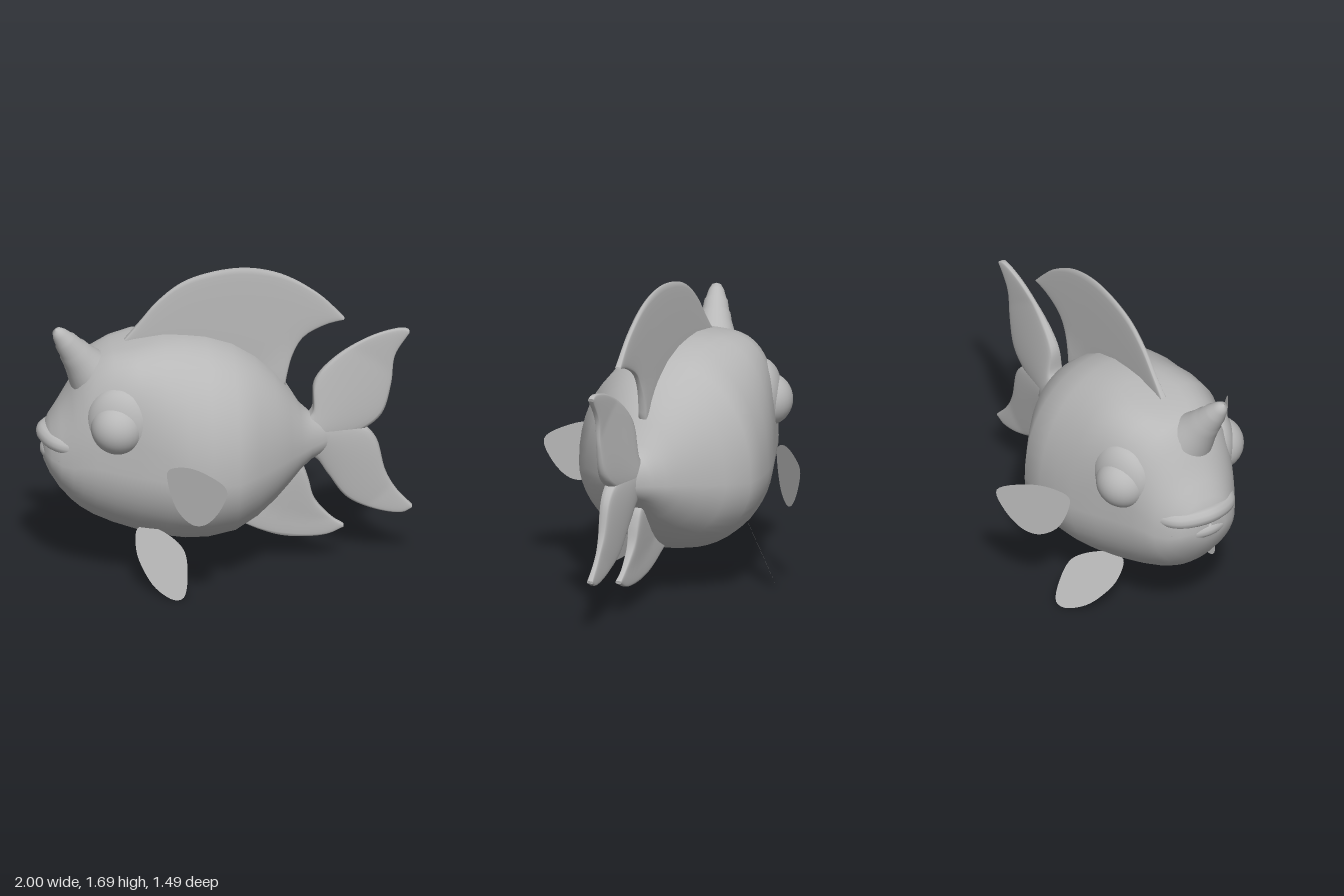
import * as THREE from 'three';

const V3 = (a) => new THREE.Vector3(...a);
const V2 = (a) => new THREE.Vector2(...a);

// Smooth skin over equal rings of points
function skin(rings) {
  const n = rings[0].length, index = [];
  for (let i = 0; i < rings.length - 1; i++) {
    for (let j = 0; j < n; j++) {
      const k = (j + 1) % n, a = i * n + j, b = i * n + k;
      index.push(a, a + n, b + n, a, b + n, b);
    }
  }
  const g = new THREE.BufferGeometry();
  g.setAttribute('position', new THREE.Float32BufferAttribute(rings.flat(2), 3));
  g.setIndex(index);
  g.computeVertexNormals();
  return g;
}

const signedPower = (v, e) => Math.sign(v) * Math.abs(v) ** e;

// Body rings: two half super-ellipses, squarer across the brow
function bodyGeometry() {
  // x, top, bottom, half width
  const stations = [
    [-0.965, 0.74, 0.72, 0.01], [-0.96, 0.815, 0.64, 0.1], [-0.93, 0.885, 0.57, 0.165], [-0.88, 0.96, 0.49, 0.215],
    [-0.82, 1.06, 0.42, 0.26], [-0.77, 1.17, 0.375, 0.29], [-0.7, 1.25, 0.33, 0.325], [-0.6, 1.285, 0.285, 0.36],
    [-0.48, 1.31, 0.245, 0.405], [-0.33, 1.33, 0.21, 0.46], [-0.22, 1.325, 0.197, 0.485], [-0.1, 1.31, 0.2, 0.5],
    [0.04, 1.265, 0.235, 0.5], [0.16, 1.19, 0.3, 0.405], [0.26, 1.1, 0.385, 0.32], [0.34, 1.0, 0.47, 0.24],
    [0.4, 0.9, 0.54, 0.175], [0.46, 0.845, 0.59, 0.115], [0.52, 0.825, 0.62, 0.075], [0.62, 0.78, 0.68, 0.02],
  ];
  const sides = 48;
  return skin(stations.map(([x, top, bottom, w]) => {
    const mid = bottom + (top - bottom) * 0.4;
    const upper = 2.15 + 1.2 * Math.exp(-(((x + 0.52) / 0.18) ** 2));
    return Array.from({ length: sides }, (_, j) => {
      const a = (j / sides) * Math.PI * 2, s = Math.sin(a);
      const e = 2 / (s > 0 ? upper : 1.95);
      const h = s > 0 ? top - mid : mid - bottom;
      return [x, mid + h * signedPower(s, e), w * signedPower(Math.cos(a), e)];
    });
  }));
}

// Median fin between two edge curves, thicker towards the tail root
function finGeometry(upperEdge, lowerEdge) {
  const [top, low] = [upperEdge, lowerEdge].map((pts) =>
    new THREE.CatmullRomCurve3(pts.map(([x, y]) => new THREE.Vector3(x, y, 0)), false, 'centripetal').getSpacedPoints(36));
  const sides = 28;
  return skin(top.map((p, i) => Array.from({ length: sides }, (_, j) => {
    const a = (j / sides) * Math.PI * 2;
    const q = low[i].clone().lerp(p, (1 + Math.sin(a)) / 2);
    const half = 0.017 + 0.05 * Math.max(0, 1 - Math.hypot(q.x - 0.5, q.y - 0.74) / 0.5);
    return [q.x, q.y, half * signedPower(Math.cos(a), 0.3)];
  })));
}

export function createModel() {
  const fish = new THREE.Group();
  fish.name = 'fish';
  const grey = new THREE.MeshStandardMaterial({ color: 0xb8b8b8 });
  grey.name = 'grey';
  grey.side = THREE.DoubleSide;

  const add = (name, geometry) => {
    const m = new THREE.Mesh(geometry, grey);
    m.name = name;
    fish.add(m);
    return m;
  };

  add('body', bodyGeometry());

  // Fins along the middle plane
  add('dorsalFin', finGeometry(
    [[-0.53, 1.305], [-0.45, 1.4], [-0.35, 1.52], [-0.2, 1.63], [0.08, 1.69], [0.3, 1.65], [0.5, 1.53], [0.61, 1.42], [0.64, 1.385]],
    [[-0.53, 1.29], [-0.2, 1.2], [0.1, 1.08], [0.31, 0.98], [0.335, 1.07], [0.36, 1.17], [0.42, 1.28], [0.54, 1.35], [0.635, 1.375]]));
  add('tailUpperLobe', finGeometry(
    [[0.44, 0.83], [0.47, 0.87], [0.48, 1.03], [0.6, 1.17], [0.8, 1.28], [0.96, 1.312], [0.985, 1.3]],
    [[0.44, 0.7], [0.6, 0.7], [0.75, 0.755], [0.84, 0.83], [0.89, 1.0], [0.91, 1.16], [0.985, 1.285]]));
  add('tailLowerLobe', finGeometry(
    [[0.44, 0.82], [0.6, 0.81], [0.75, 0.76], [0.81, 0.69], [0.86, 0.5], [0.92, 0.39], [1.0, 0.3]],
    [[0.42, 0.6], [0.48, 0.6], [0.55, 0.5], [0.65, 0.36], [0.8, 0.285], [0.95, 0.262], [0.995, 0.285]]));
  add('analFin', finGeometry(
    [[0.06, 0.28], [0.2, 0.42], [0.38, 0.58], [0.42, 0.55], [0.45, 0.47], [0.48, 0.36], [0.57, 0.25], [0.635, 0.205]],
    [[0.06, 0.255], [0.2, 0.185], [0.3, 0.152], [0.42, 0.14], [0.55, 0.152], [0.635, 0.19]]));

  // Paired thin fins, slanted by a plane rule z(x, y)
  const pairedFin = (name, points, zAt) => {
    const curve = new THREE.CatmullRomCurve3(points.map(([x, y]) => new THREE.Vector3(x, y, 0)), true, 'centripetal');
    const shape = new THREE.Shape(curve.getPoints(50).map((p) => new THREE.Vector2(p.x, p.y)));
    for (const side of [1, -1]) {
      const g = new THREE.ShapeGeometry(shape);
      const p = g.attributes.position;
      for (let i = 0; i < p.count; i++) p.setZ(i, side * zAt(p.getX(i), p.getY(i)));
      g.computeVertexNormals();
      add((side > 0 ? 'left' : 'right') + name, g);
    }
  };
  pairedFin('PectoralFin', [[-0.34, 0.74], [-0.26, 0.785], [-0.17, 0.785], [-0.055, 0.73], [-0.08, 0.61], [-0.16, 0.49],
    [-0.22, 0.47], [-0.29, 0.52], [-0.34, 0.66]], (x) => 0.48 + 0.92 * (x + 0.34));
  pairedFin('PelvicFin', [[-0.48, 0.31], [-0.42, 0.33], [-0.33, 0.31], [-0.25, 0.25], [-0.235, 0.14], [-0.26, 0.02],
    [-0.31, 0.0], [-0.4, 0.04], [-0.46, 0.12], [-0.49, 0.2]], (x, y) => 0.25 + 0.62 * (x + 0.485) + 0.5 * (0.25 - y));

  // Bulging eyes inside low raised lids
  for (const side of [1, -1]) {
    const name = side > 0 ? 'left' : 'right';
    const lid = add(name + 'EyeLid', new THREE.SphereGeometry(1, 32, 20));
    lid.scale.set(0.185, 0.2, 0.11);
    lid.position.set(-0.575, 0.945, side * 0.285);
    lid.rotation.y = side * -0.35;
    const eye = add(name + 'Eye', new THREE.SphereGeometry(0.145, 32, 20));
    eye.position.set(-0.59, 0.925, side * 0.3);
  }

  // Lips wrapped round the snout, ends sunk in the cheeks
  const lip = (name, half, radius) => {
    const mirrored = half.slice(0, -1).reverse().map(([x, y, z]) => [x, y, -z]);
    const curve = new THREE.CatmullRomCurve3([...half, ...mirrored].map(V3));
    add(name, new THREE.TubeGeometry(curve, 40, radius, 12));
  };
  lip('upperLip', [[-0.74, 0.785, 0.21], [-0.82, 0.775, 0.195], [-0.9, 0.78, 0.14], [-0.952, 0.795, 0]], 0.047);
  lip('lowerLip', [[-0.76, 0.735, 0.215], [-0.83, 0.715, 0.195], [-0.89, 0.7, 0.14], [-0.935, 0.695, 0]], 0.043);

  // Ringed horn leaning forward and to one side
  const base = V3([-0.715, 1.15, 0.055]), tip = V3([-0.905, 1.425, 0.13]);
  const profile = [[0.13, 0], [0.106, 0.07], [0.088, 0.13], [0.08, 0.175], [0.072, 0.19], [0.062, 0.25],
    [0.054, 0.262], [0.042, 0.305], [0.026, 0.335], [0.001, 0.347]].map(V2);
  const horn = add('horn', new THREE.LatheGeometry(profile, 24));
  horn.position.copy(base);
  horn.quaternion.setFromUnitVectors(new THREE.Vector3(0, 1, 0), tip.sub(base).normalize());

  return fish;
}
